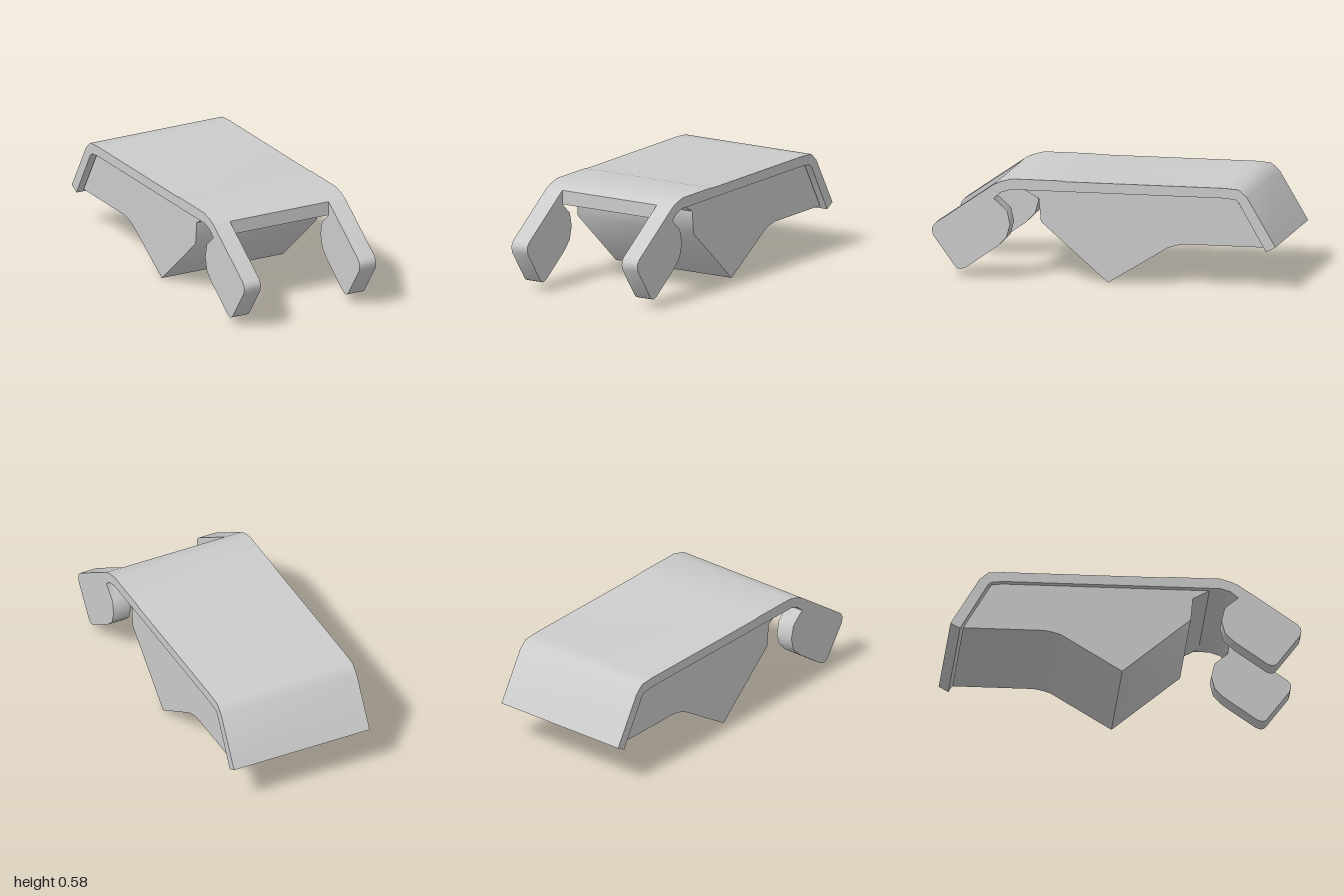
import * as THREE from 'three';
import { toCreasedNormals } from 'three/addons/utils/BufferGeometryUtils.js';

const material = new THREE.MeshStandardMaterial({ color: 0xcccccc });

// Side profile given as [z, y] points, extruded across x from x0 to x1
function slab(name, profile, x0, x1) {
  const shape = new THREE.Shape(profile.map(([z, y]) => new THREE.Vector2(z, y)));
  const geometry = new THREE.ExtrudeGeometry(shape, { depth: x1 - x0, bevelEnabled: false });
  geometry.rotateY(-Math.PI / 2);
  geometry.translate(x1, 0, 0);
  const mesh = new THREE.Mesh(toCreasedNormals(geometry, 0.87), material);
  mesh.name = name;
  return mesh;
}

export function createModel() {
  const group = new THREE.Group();
  group.name = 'clip';

  // Bent cover plate with the angled rear lip
  group.add(slab('coverPlate', [
    [0.64, 0.548], [0.6, 0.566], [0.535, 0.584], [0.25, 0.584], [0.22, 0.58],
    [-0.7, 0.58], [-0.785, 0.574], [-0.835, 0.53], [-1, 0.25], [-0.945, 0.22],
    [-0.785, 0.5], [-0.765, 0.515], [-0.7, 0.522], [0.54, 0.522], [0.6, 0.503], [0.64, 0.467],
  ], -0.43, 0.43));

  // Wedge-shaped body below the plate
  group.add(slab('wedgeBody', [
    [0.48, 0.523], [0.385, 0.47], [0.373, 0.337], [-0.018, 0], [-0.365, 0.215],
    [-0.41, 0.23], [-0.46, 0.24], [-0.925, 0.24], [-0.765, 0.513], [-0.7, 0.523],
  ], -0.395, 0.395));

  // Pair of rounded front hooks
  const hook = [
    [0.64, 0.548], [0.98, 0.312], [0.997, 0.29], [1, 0.27], [0.993, 0.242], [0.872, 0.075],
    [0.855, 0.056], [0.835, 0.049], [0.805, 0.06], [0.62, 0.19], [0.565, 0.245],
    [0.545, 0.32], [0.563, 0.4], [0.64, 0.467],
  ];
  group.add(slab('leftHook', hook, 0.322, 0.43));
  group.add(slab('rightHook', hook, -0.43, -0.322));

  return group;
}
